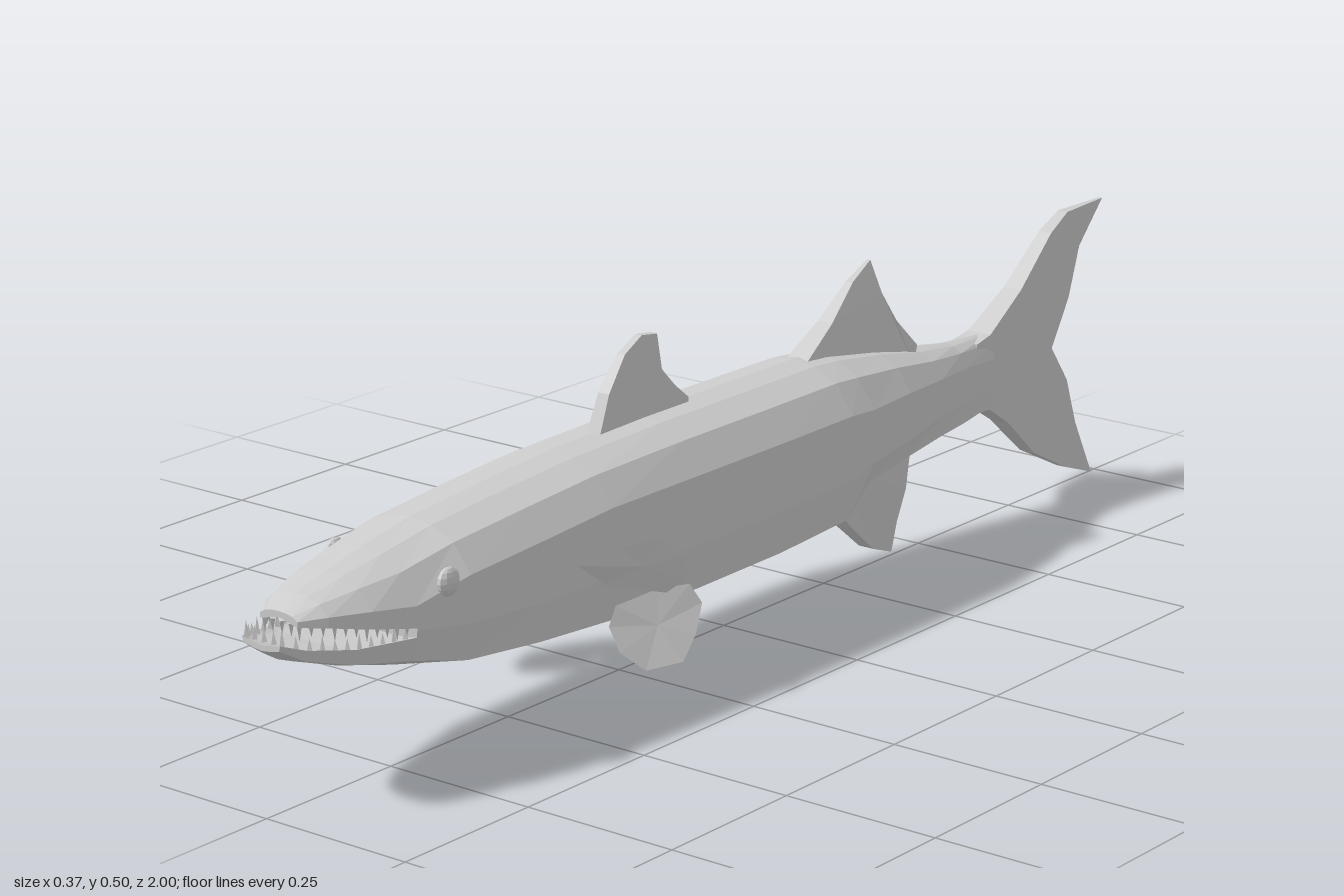
import * as THREE from 'three';

const mat = new THREE.MeshStandardMaterial({ color: 0xcccccc, flatShading: true, side: THREE.DoubleSide });

function add(parent, name, geometry) {
  const mesh = new THREE.Mesh(geometry, mat);
  mesh.name = name;
  parent.add(mesh);
  return mesh;
}

// Loft through mirrored half sections [{ z, half: [[x, y], ...] }], listed front to back, with end caps
function loft(sections) {
  const rings = sections.map(({ z, half }) => {
    const left = half.map(([x, y]) => [x, y, z]);
    const right = half.slice(1, -1).reverse().map(([x, y]) => [-x, y, z]);
    return left.concat(right);
  });
  const n = rings[0].length, out = [];
  const tri = (a, b, c) => out.push(...a, ...b, ...c);
  for (let i = 0; i < rings.length - 1; i++) {
    for (let j = 0; j < n; j++) {
      const k = (j + 1) % n;
      const a = rings[i][j], b = rings[i][k], c = rings[i + 1][k], d = rings[i + 1][j];
      tri(a, b, d);
      tri(b, c, d);
    }
  }
  const first = rings[0], last = rings[rings.length - 1];
  const middle = (r) => [0, r.reduce((s, p) => s + p[1], 0) / n, r[0][2]];
  for (let j = 0; j < n; j++) {
    const k = (j + 1) % n;
    tri(middle(first), first[k], first[j]);
    tri(middle(last), last[j], last[k]);
  }
  return fromTriangles(out);
}

function fromTriangles(values) {
  const g = new THREE.BufferGeometry();
  g.setAttribute('position', new THREE.Float32BufferAttribute(values, 3));
  g.computeVertexNormals();
  return g;
}

// Upright fin from a [z, y] outline; halfWidth(z, y) tapers its thickness
function uprightFin(outline, halfWidth) {
  const shape = new THREE.Shape(outline.map(([z, y]) => new THREE.Vector2(z, y)));
  const g = new THREE.ExtrudeGeometry(shape, { depth: 2, bevelEnabled: false });
  g.translate(0, 0, -1).rotateY(-Math.PI / 2);
  const p = g.attributes.position;
  for (let i = 0; i < p.count; i++) p.setX(i, p.getX(i) * halfWidth(p.getZ(i), p.getY(i)));
  g.computeVertexNormals();
  return g;
}

// Thin side fin: a fan over a rim of [x, y, z] points
function sideFin(rim, side) {
  const pts = rim.map(([x, y, z]) => [x * side, y, z]);
  const mid = [0, 1, 2].map((k) => pts.reduce((s, p) => s + p[k], 0) / pts.length);
  return fromTriangles(pts.flatMap((p, i) => [...mid, ...p, ...pts[(i + 1) % pts.length]]));
}

// Rounded back shared by the body and the upper jaw
const back = (w, top, shoulder) => [
  [0, top], [0.35 * w, top - 0.08 * (top - shoulder)], [0.72 * w, top - 0.35 * (top - shoulder)], [w, shoulder],
];

// z, half width, top, shoulder, lower side, belly corner, keel
const BODY = [
  [0.80, 0.100, 0.335, 0.270, 0.235, 0.190, 0.165],
  [0.70, 0.110, 0.352, 0.290, 0.220, 0.165, 0.148],
  [0.55, 0.113, 0.365, 0.300, 0.210, 0.150, 0.130],
  [0.40, 0.114, 0.375, 0.310, 0.205, 0.140, 0.113],
  [0.20, 0.115, 0.380, 0.310, 0.205, 0.135, 0.105],
  [0.00, 0.115, 0.380, 0.310, 0.205, 0.137, 0.112],
  [-0.17, 0.113, 0.380, 0.310, 0.210, 0.145, 0.125],
  [-0.23, 0.109, 0.375, 0.305, 0.220, 0.190, 0.135],
  [-0.35, 0.090, 0.355, 0.300, 0.225, 0.195, 0.155],
  [-0.47, 0.065, 0.330, 0.290, 0.230, 0.195, 0.183],
  [-0.57, 0.040, 0.315, 0.280, 0.225, 0.190, 0.180],
  [-0.67, 0.024, 0.310, 0.270, 0.225, 0.195, 0.188],
];
// z, half width, top, shoulder, lip
const UPPER = [
  [0.965, 0.034, 0.287, 0.278, 0.270],
  [0.93, 0.058, 0.303, 0.280, 0.265],
  [0.87, 0.082, 0.320, 0.277, 0.252],
  [0.80, 0.100, 0.335, 0.270, 0.238],
];
// z, half width, lip, corner, keel
const LOWER = [
  [1.00, 0.035, 0.254, 0.246, 0.240],
  [0.97, 0.056, 0.244, 0.228, 0.220],
  [0.90, 0.080, 0.231, 0.208, 0.195],
  [0.80, 0.100, 0.225, 0.190, 0.165],
];

// Points [x, y, z] spread along one side of a jaw's lip
function lipPoints(rows, lipIndex, count) {
  const curve = new THREE.CatmullRomCurve3(
    rows.map((r) => new THREE.Vector3(r[1] * 0.93, r[lipIndex], r[0] - 0.006)));
  return curve.getSpacedPoints(count);
}

export function createModel() {
  const fish = new THREE.Group();
  fish.name = 'fish';

  add(fish, 'body', loft(BODY.map(([z, w, t, s, l, c, b]) => ({
    z, half: [...back(w, t, s), [w, l], [0.93 * w, c], [0.5 * w, b + 0.4 * (c - b)], [0, b]],
  }))));
  add(fish, 'upperJaw', loft(UPPER.map(([z, w, t, s, lip]) => ({
    z, half: [...back(w, t, s), [w, lip], [0.8 * w, lip + 0.004], [0, lip + 0.008]],
  }))));
  add(fish, 'lowerJaw', loft(LOWER.map(([z, w, lip, c, b]) => ({
    z, half: [[0, lip - 0.006], [0.8 * w, lip - 0.004], [w, lip], [0.93 * w, c], [0.5 * w, b + 0.4 * (c - b)], [0, b]],
  }))));

  // Teeth: rows along both lips and across the front of each jaw
  const teeth = new THREE.Group();
  teeth.name = 'teeth';
  fish.add(teeth);
  const tooth = (x, y, z, height, up) => {
    const g = new THREE.ConeGeometry(0.005, height, 4);
    if (!up) g.rotateX(Math.PI);
    add(teeth, up ? 'lowerTooth' : 'upperTooth', g).position.set(x, y + (up ? 1 : -1) * height * 0.4, z);
  };
  for (const [rows, lip, up] of [[UPPER, 4, false], [LOWER, 2, true]]) {
    lipPoints(rows, lip, 11).forEach((p, i) => {
      const height = i % 3 === 0 ? 0.024 : 0.017;
      for (const side of [-1, 1]) tooth(side * p.x, p.y, p.z, height, up);
    });
    for (const k of [-0.5, 0, 0.5]) tooth(k * rows[0][1], rows[0][lip], rows[0][0] - 0.006, 0.02, up);
  }

  // Fins on the midline
  add(fish, 'frontDorsalFin', uprightFin(
    [[0.31, 0.36], [0.28, 0.43], [0.24, 0.48], [0.20, 0.50], [0.165, 0.495], [0.158, 0.44], [0.13, 0.41], [0.10, 0.385], [0.10, 0.36]],
    (z, y) => 0.013 - 0.06 * Math.max(0, y - 0.38)));
  add(fish, 'rearDorsalFin', uprightFin(
    [[-0.17, 0.37], [-0.25, 0.42], [-0.31, 0.47], [-0.36, 0.495], [-0.38, 0.44], [-0.41, 0.39], [-0.46, 0.34], [-0.45, 0.31], [-0.2, 0.34]],
    (z, y) => 0.022 - 0.14 * Math.max(0, y - 0.36)));
  add(fish, 'analFin', uprightFin(
    [[-0.23, 0.15], [-0.30, 0.08], [-0.36, 0.03], [-0.41, 0.012], [-0.42, 0.06], [-0.44, 0.11], [-0.455, 0.20], [-0.26, 0.19]],
    (z, y) => 0.012 + 0.06 * Math.min(0.1, y)));
  add(fish, 'tailFin', uprightFin(
    [[-0.62, 0.305], [-0.66, 0.312], [-0.75, 0.365], [-0.84, 0.44], [-0.89, 0.465], [-1, 0.466], [-0.93, 0.40], [-0.90, 0.32],
      [-0.85, 0.245], [-0.90, 0.18], [-0.93, 0.10], [-0.985, 0], [-0.90, 0.03], [-0.80, 0.08], [-0.72, 0.15], [-0.66, 0.188], [-0.62, 0.19]],
    (z) => THREE.MathUtils.mapLinear(z, -0.62, -1, 0.024, 0.003)));

  // Paired fins and eyes
  for (const side of [-1, 1]) {
    const label = side > 0 ? 'left' : 'right';
    add(fish, label + 'PectoralFin', sideFin([
      [0.113, 0.245, 0.48], [0.128, 0.255, 0.40], [0.145, 0.252, 0.33], [0.155, 0.22, 0.29],
      [0.151, 0.18, 0.28], [0.138, 0.165, 0.31], [0.113, 0.20, 0.42]], side));
    add(fish, label + 'PelvicFin', sideFin([
      [0.118, 0.165, 0.40], [0.130, 0.172, 0.32], [0.145, 0.168, 0.265], [0.160, 0.140, 0.255],
      [0.176, 0.105, 0.29], [0.185, 0.076, 0.33], [0.165, 0.075, 0.39], [0.142, 0.105, 0.42], [0.122, 0.14, 0.42]], side));
    const eye = add(fish, label + 'Eye', new THREE.SphereGeometry(0.021, 10, 8));
    eye.scale.x = 0.5;
    eye.position.set(side * 0.104, 0.29, 0.74);
  }
  return fish;
}
